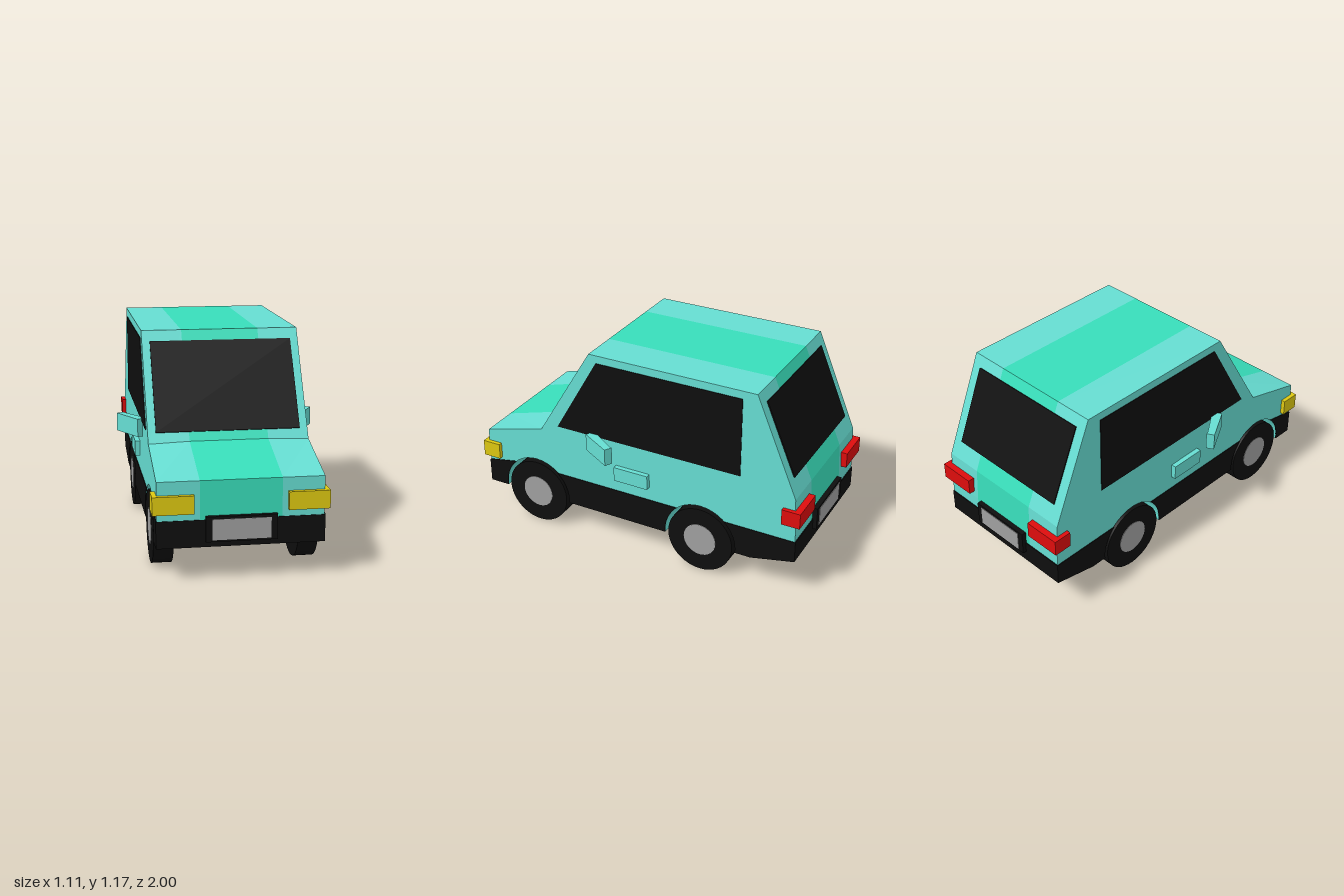
import * as THREE from 'three';

const mat = (name, color) => {
  const m = new THREE.MeshStandardMaterial({ color });
  m.name = name;
  return m;
};

const HALF = 0.428;    // half body width
const STRIPE = 0.21;   // half width of the centre stripe
const WHEELS = [-0.415, 0.645];
const ARCH_R = 0.215, ARCH_Y = 0.2;

// points along a wheel arch, from angle a0 to a1
function arc(cz, a0, a1, n = 20) {
  const pts = [];
  for (let i = 0; i <= n; i++) {
    const a = a0 + (a1 - a0) * i / n;
    pts.push([cz + ARCH_R * Math.cos(a), ARCH_Y + ARCH_R * Math.sin(a)]);
  }
  return pts;
}

// side outline [z, y] extruded across x from x0 to x1
function slab(points, x0, x1) {
  const shape = new THREE.Shape(points.map(p => new THREE.Vector2(...p)));
  const g = new THREE.ExtrudeGeometry(shape, { depth: x1 - x0, bevelEnabled: false });
  g.rotateY(-Math.PI / 2);
  g.translate(x1, 0, 0);
  return g;
}

export function createModel() {
  const car = new THREE.Group();
  car.name = 'car';
  const teal = mat('lightTeal', 0x66ddd2);
  const green = mat('stripeGreen', 0x38ddba);
  const black = mat('black', 0x0e0e0e);
  const grey = mat('grey', 0x9f9f9f);
  const yellow = mat('yellow', 0xddc811);
  const red = mat('red', 0xdd0d0d);

  const add = (name, geometry, material) => {
    const m = new THREE.Mesh(geometry, material);
    m.name = name;
    car.add(m);
    return m;
  };
  // box given by its limits
  const box = (name, material, x0, x1, y0, y1, z0, z1) => {
    const g = new THREE.BoxGeometry(x1 - x0, y1 - y0, z1 - z0);
    return add(name, g.translate((x0 + x1) / 2, (y0 + y1) / 2, (z0 + z1) / 2), material);
  };

  // body shell: three strips sharing one side outline, with arches cut through
  const dip = 0.093;
  const outline = [
    [-0.97, 0.235], [-0.72, 0.18],
    ...arc(WHEELS[0], Math.PI + dip, -dip),
    ...arc(WHEELS[1], Math.PI + dip, -dip),
    [0.975, 0.18], [0.975, 0.525], [0.6, 0.634],
    [0.265, 1.175], [-0.725, 1.175], [-0.96, 0.62], [-0.97, 0.43],
  ];
  for (const [name, x0, x1, m] of [
    ['bodyRight', -HALF, -STRIPE, teal],
    ['bodyStripe', -STRIPE, STRIPE, green],
    ['bodyLeft', STRIPE, HALF, teal],
  ]) {
    const g = slab(outline, x0, x1);
    // the bonnet falls away slightly towards its sides
    const p = g.attributes.position;
    for (let i = 0; i < p.count; i++) {
      if (Math.abs(p.getY(i) - 0.634) < 1e-4 && Math.abs(p.getX(i)) > 0.4) p.setY(i, 0.626);
    }
    g.computeVertexNormals();
    add(name, g, m);
  }

  // sill pieces around the arches, and the side windows
  const top = 0.839;
  const sills = [
    [[-0.97, 0.235], [-0.72, 0.18], ...arc(WHEELS[0], Math.PI + dip, Math.PI - top, 8), [-0.97, 0.36]],
    [...arc(WHEELS[0], top, -dip, 8), ...arc(WHEELS[1], Math.PI + dip, Math.PI - top, 8)],
    [...arc(WHEELS[1], top, -dip, 8), [0.975, 0.18], [0.975, 0.325], [0.79, 0.36]],
  ];
  const sideGlass = [[0.485, 0.675], [-0.645, 0.675], [-0.645, 1.13], [0.22, 1.13]];
  // mirror plan [x, z]
  const mirrorPlan = [[0.42, 0.235], [0.51, 0.1], [0.515, 0.083], [0.555, 0.105], [0.455, 0.285], [0.42, 0.265]];

  for (const s of [-1, 1]) {
    const side = s > 0 ? 'left' : 'right';
    const span = (a, b) => (s > 0 ? [a, b] : [-b, -a]);
    for (const sill of sills) add(side + 'Sill', slab(sill, ...span(0.426, 0.432)), black);
    add(side + 'Window', slab(sideGlass, ...span(0.426, 0.432)), black);

    // lamps wrap round the corners
    box(side + 'Headlight', yellow, ...span(0.24, 0.452), 0.36, 0.455, 0.89, 1);
    box(side + 'TailLight', red, ...span(0.24, 0.452), 0.465, 0.555, -1, -0.895);
    box(side + 'DoorHandle', teal, ...span(0.42, 0.456), 0.44, 0.525, -0.1, 0.11);

    // swept door mirror
    const plan = new THREE.Shape(mirrorPlan.map(([x, z]) => new THREE.Vector2(s * x, -z)));
    const g = new THREE.ExtrudeGeometry(plan, { depth: 0.1, bevelEnabled: false });
    add(side + 'Mirror', g.rotateX(-Math.PI / 2).translate(0, 0.59, 0), teal);

    // wheels with flush hubs
    WHEELS.forEach((z, i) => {
      const end = i ? 'Front' : 'Rear';
      const tyre = new THREE.CylinderGeometry(0.195, 0.195, 0.105, 40).rotateZ(Math.PI / 2);
      add(side + end + 'Tyre', tyre.translate(s * 0.378, 0.197, z), black);
      const hub = new THREE.CylinderGeometry(0.097, 0.097, 0.008, 32).rotateZ(Math.PI / 2);
      add(side + end + 'Hub', hub.translate(s * 0.429, 0.197, z), grey);
    });
  }

  // windscreen and rear window lie on the slopes
  const slopedGlass = (name, half, z0, y0, z1, y1, out) => {
    const g = new THREE.BoxGeometry(half * 2, Math.hypot(z1 - z0, y1 - y0), 0.008);
    g.rotateX(Math.atan2(z1 - z0, y1 - y0));
    add(name, g.translate(0, (y0 + y1) / 2, (z0 + z1) / 2 + out), black);
  };
  slopedGlass('windscreen', 0.385, 0.572, 0.68, 0.299, 1.12, 0.003);
  slopedGlass('rearWindow', 0.37, -0.92, 0.714, -0.75, 1.116, -0.003);

  // bumper bands and number plates
  box('frontBumper', black, -0.432, 0.432, 0.18, 0.322, 0.971, 0.979);
  box('rearBumper', black, -0.432, 0.432, 0.235, 0.36, -0.975, -0.967);
  box('frontPlateHolder', black, -0.183, 0.183, 0.21, 0.342, 0.97, 0.997);
  box('frontPlate', grey, -0.15, 0.15, 0.22, 0.328, 0.993, 1);
  box('rearPlateHolder', black, -0.183, 0.183, 0.3, 0.432, -0.997, -0.96);
  box('rearPlate', grey, -0.15, 0.15, 0.31, 0.42, -1, -0.993);

  return car;
}
